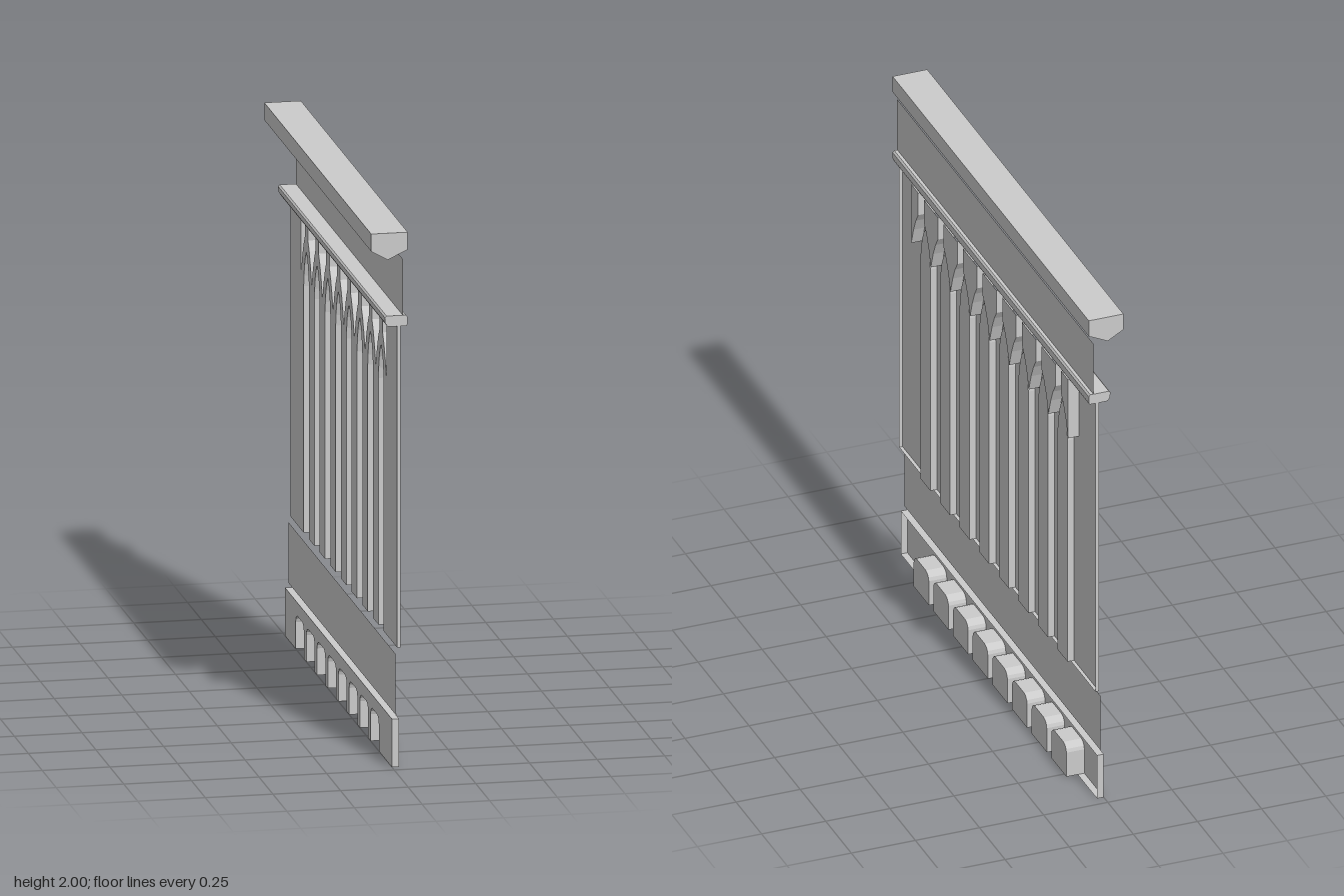
import * as THREE from 'three';

const HALF = 0.96;      // half length of the wall along z
const PITCH = 0.1917;   // spacing of the repeated ornaments

const solid = new THREE.MeshStandardMaterial({ color: 0xcccccc, flatShading: true });
const sheet = new THREE.MeshStandardMaterial({ color: 0xcccccc, flatShading: true, side: THREE.DoubleSide });

function add(parent, name, geometry, material) {
  const mesh = new THREE.Mesh(geometry, material);
  mesh.name = name;
  parent.add(mesh);
}

// Flat face from points [u, y], where u = -z, facing +x
function face(points, x) {
  const shape = new THREE.Shape(points.map(([u, y]) => new THREE.Vector2(u, y)));
  return new THREE.ShapeGeometry(shape).rotateY(Math.PI / 2).translate(x, 0, 0);
}

// Wall standing on a path of [u, y] points, running from x0 to x1
function wall(points, x0, x1) {
  const pos = [], index = [];
  points.forEach(([u, y], i) => {
    pos.push(x0, y, -u, x1, y, -u);
    if (i) index.push(2 * i - 2, 2 * i - 1, 2 * i, 2 * i, 2 * i - 1, 2 * i + 1);
  });
  const g = new THREE.BufferGeometry();
  g.setAttribute('position', new THREE.Float32BufferAttribute(pos, 3));
  g.setIndex(index);
  g.computeVertexNormals();
  return g;
}

// Hollow ornament pushed out of a panel
function relief(parent, name, path, x0, x1) {
  const group = new THREE.Group();
  group.name = name;
  add(group, name + 'Face', face(path, x1), sheet);
  add(group, name + 'Sides', wall(path, x0, x1), sheet);
  parent.add(group);
}

// Symmetric open path: half profile [du, y] mirrored about u = c
function mirrored(half, c) {
  const left = half.map(([d, y]) => [c - d, y]);
  const right = half.map(([d, y]) => [c + d, y]).reverse();
  return [...left, ...right.filter(([u]) => Math.abs(u - c) > 1e-6)];
}

// Panel with bottom and top notches where the ornaments open, plus a thin rim
function notchedPanel(parent, name, y0, y1, x0, x1, bottom, top) {
  const outline = [[-HALF, y0], ...bottom.flat(), [HALF, y0], [HALF, y1],
    ...[...top].reverse().flatMap(p => [...p].reverse()), [-HALF, y1]];
  add(parent, name, face(outline, x0), sheet);
  for (const [y, notches] of [[y0, bottom], [y1, top]]) {
    let u = -HALF;
    for (const n of [...notches, [[HALF, y]]]) {
      add(parent, name + 'Rim', wall([[u, y], [n[0][0], y]], x0, x1), sheet);
      u = n[n.length - 1][0];
    }
  }
  for (const u of [-HALF, HALF]) add(parent, name + 'EndRim', wall([[u, y0], [u, y1]], x0, x1), sheet);
}

// Moulding with a constant [x, y] profile along z
function moulding(parent, name, profile) {
  const shape = new THREE.Shape(profile.map(([x, y]) => new THREE.Vector2(x, y)));
  const g = new THREE.ExtrudeGeometry(shape, { depth: 2 * HALF, bevelEnabled: false });
  add(parent, name, g.translate(0, 0, -HALF), solid);
}

export function createModel() {
  const wallGroup = new THREE.Group();
  wallGroup.name = 'panelledWall';

  // Plinth with a row of rounded bosses
  const bossHalf = [[0.074, 0], [0.074, 0.1], [0.07, 0.113], [0.061, 0.124], [0.045, 0.13]];
  const bosses = [];
  for (let i = 0; i < 8; i++) bosses.push(mirrored(bossHalf, -0.649 + i * 0.1923));
  notchedPanel(wallGroup, 'plinth', 0, 0.18, 0, 0.026, bosses, []);
  bosses.forEach(p => relief(wallGroup, 'plinthBoss', p, 0, 0.07));

  // Plain lower band
  const band = (y0, y1) => [[-HALF, y0], [HALF, y0], [HALF, y1], [-HALF, y1]];
  add(wallGroup, 'lowerBand', face(band(0.198, 0.425), 0.012), sheet);

  // Main panel: lancets rising from the bottom, pendants hanging from the top
  const y0 = 0.447, y1 = 1.653;
  const lancetHalf = [[0.048, y0], [0.048, 1.37], [0.043, 1.41], [0.032, 1.455], [0.017, 1.489], [0, 1.51]];
  const pendantHalf = [[0.068, y1], [0.068, 1.56], [0.045, 1.525], [0.022, 1.475], [0, 1.408]];
  const lancets = [], pendants = [];
  for (let i = -4; i < 4; i++) lancets.push(mirrored(lancetHalf, (i + 0.5) * PITCH));
  for (let i = -4; i <= 4; i++) {
    const full = mirrored(pendantHalf, i * PITCH);
    const c = i * PITCH;
    // the two end pendants are cut in half by a straight outer side
    if (i === -4) pendants.push([[c, y1], ...full.slice(4)]);
    else if (i === 4) pendants.push([...full.slice(0, 5), [c, y1]]);
    else pendants.push(full);
  }
  notchedPanel(wallGroup, 'mainPanel', y0, y1, 0.019, 0.032, lancets, pendants);
  lancets.forEach(p => relief(wallGroup, 'lancet', p, 0.019, 0.045));
  pendants.forEach(p => relief(wallGroup, 'pendant', p, 0.019, 0.062));

  // Ledge, upper band and top cap
  moulding(wallGroup, 'ledge', [[-0.016, 1.65], [0.055, 1.65], [0.058, 1.658], [0.058, 1.682],
    [0.052, 1.69], [-0.02, 1.69], [-0.026, 1.684], [-0.025, 1.664]]);
  add(wallGroup, 'upperBand', face(band(1.685, 1.9), 0.04), sheet);
  moulding(wallGroup, 'topCap', [[-0.016, 1.9], [0.058, 1.935], [0.058, 2], [-0.077, 2], [-0.077, 1.935]]);

  return wallGroup;
}
